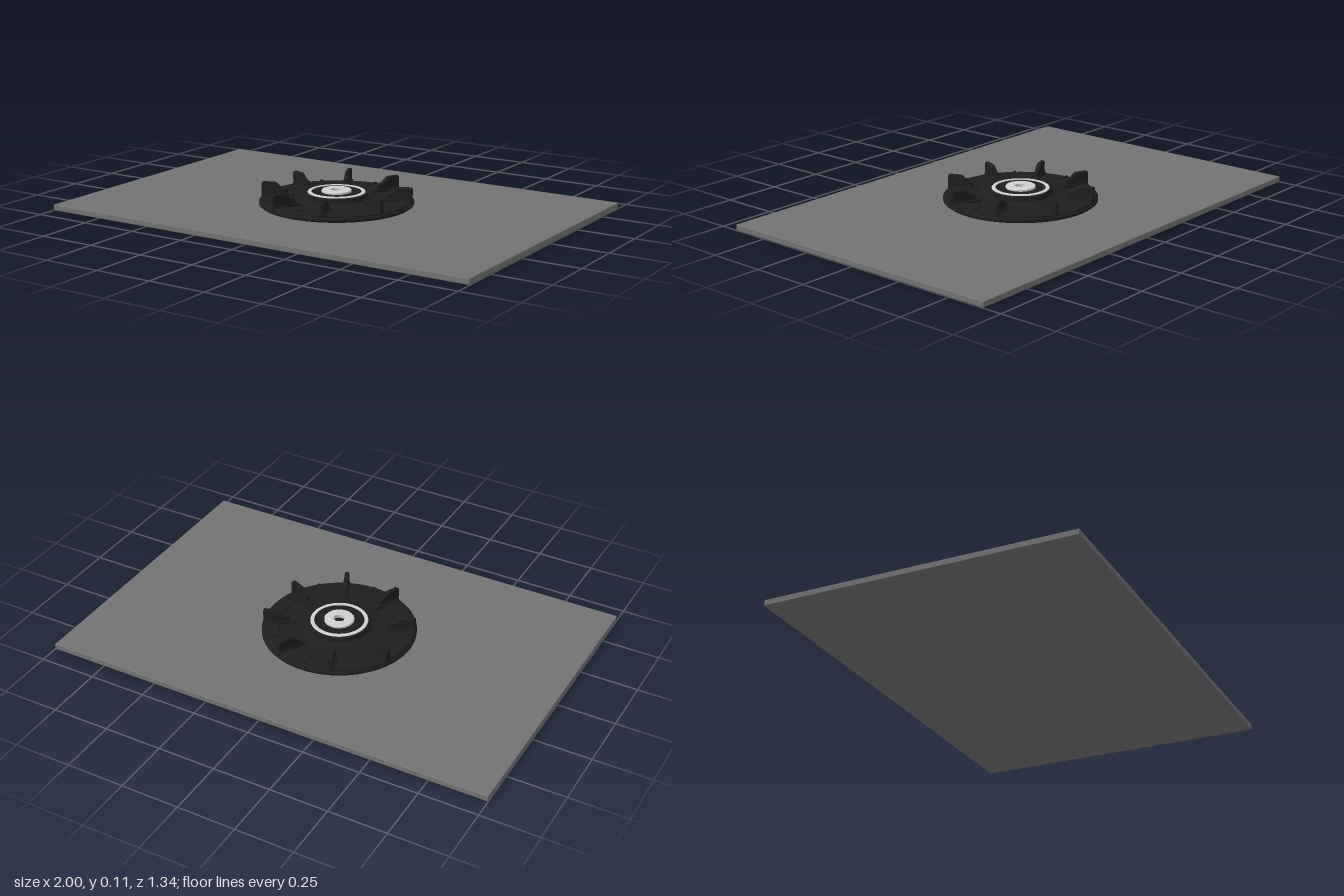
import * as THREE from 'three';
import { toCreasedNormals } from 'three/addons/utils/BufferGeometryUtils.js';
import { RoundedBoxGeometry } from 'three/addons/geometries/RoundedBoxGeometry.js';

export function createModel() {
  const root = new THREE.Group();
  root.name = 'rotorOnPlate';

  const material = (name, color) => {
    const m = new THREE.MeshStandardMaterial({ color });
    m.name = name;
    return m;
  };
  const plateGrey = material('plate grey', 0x737373);
  const black = material('black plastic', 0x1e1e1e);
  const steel = material('light steel', 0xd0d0d0);

  const add = (name, geometry, mat, parent = root) => {
    const mesh = new THREE.Mesh(geometry, mat);
    mesh.name = name;
    parent.add(mesh);
    return mesh;
  };

  // Turned part from [radius, height] points, listed bottom to top on the outside
  const turned = (name, points, mat) => {
    const lathe = new THREE.LatheGeometry(points.map(([r, y]) => new THREE.Vector2(r, y)), 72);
    return add(name, toCreasedNormals(lathe, 0.5), mat);
  };

  // Upright blade: [radius, height] outline with a thickness, centred on its plane
  const blade = (points, thickness, bevel) => {
    const shape = new THREE.Shape(points.map(([r, y]) => new THREE.Vector2(r, y)));
    const geometry = new THREE.ExtrudeGeometry(shape, {
      depth: thickness - 2 * bevel, bevelEnabled: bevel > 0, bevelSize: bevel,
      bevelOffset: -bevel, bevelThickness: bevel, bevelSegments: 1,
    });
    return geometry.translate(0, 0, bevel - thickness / 2);
  };

  // Base plate
  add('basePlate', new RoundedBoxGeometry(2, 0.026, 1.335, 2, 0.004), plateGrey)
    .position.y = 0.013;

  // Disc with a stepped rim and a raised hub
  turned('disc', [
    [0, 0.026], [0.322, 0.026], [0.33, 0.032], [0.33, 0.041], [0.324, 0.045],
    [0.322, 0.051], [0.316, 0.053], [0.258, 0.053], [0.252, 0.048], [0.15, 0.048],
    [0.142, 0.052], [0.134, 0.058], [0.132, 0.074], [0.128, 0.078], [0.122, 0.078],
    [0.122, 0.072], [0, 0.072],
  ], black);

  // Bearing: outer race, dark seal, inner race and bore
  turned('outerRace', [
    [0.123, 0.07], [0.123, 0.08], [0.121, 0.082], [0.107, 0.082], [0.106, 0.072],
  ], steel);
  turned('seal', [[0.107, 0.072], [0.107, 0.079], [0.063, 0.079], [0.063, 0.072]], black);
  turned('innerRace', [
    [0.064, 0.072], [0.064, 0.086], [0.061, 0.089], [0.026, 0.089], [0.024, 0.087], [0.024, 0.072],
  ], steel);

  // Tall fins alternate with low ribs around the rim
  const finGeometry = blade([
    [0.186, 0.046], [0.325, 0.046], [0.325, 0.103], [0.32, 0.109], [0.268, 0.109],
    [0.26, 0.105], [0.24, 0.087], [0.218, 0.081], [0.212, 0.061], [0.19, 0.058],
  ], 0.02, 0.003);
  const footGeometry = blade([
    [0.2, 0.046], [0.324, 0.046], [0.32, 0.06], [0.206, 0.06],
  ], 0.03, 0.002);
  const ribGeometry = blade([
    [0.25, 0.046], [0.324, 0.046], [0.318, 0.058], [0.254, 0.058],
  ], 0.013, 0.002);
  for (let i = 0; i < 8; i++) {
    const fin = new THREE.Group();
    fin.name = 'fin';
    fin.rotation.y = (i + 0.5) * Math.PI / 4;
    add('finBlade', finGeometry, black, fin);
    add('finFoot', footGeometry, black, fin);
    root.add(fin);
    add('rib', ribGeometry, black).rotation.y = i * Math.PI / 4;
  }
  return root;
}
